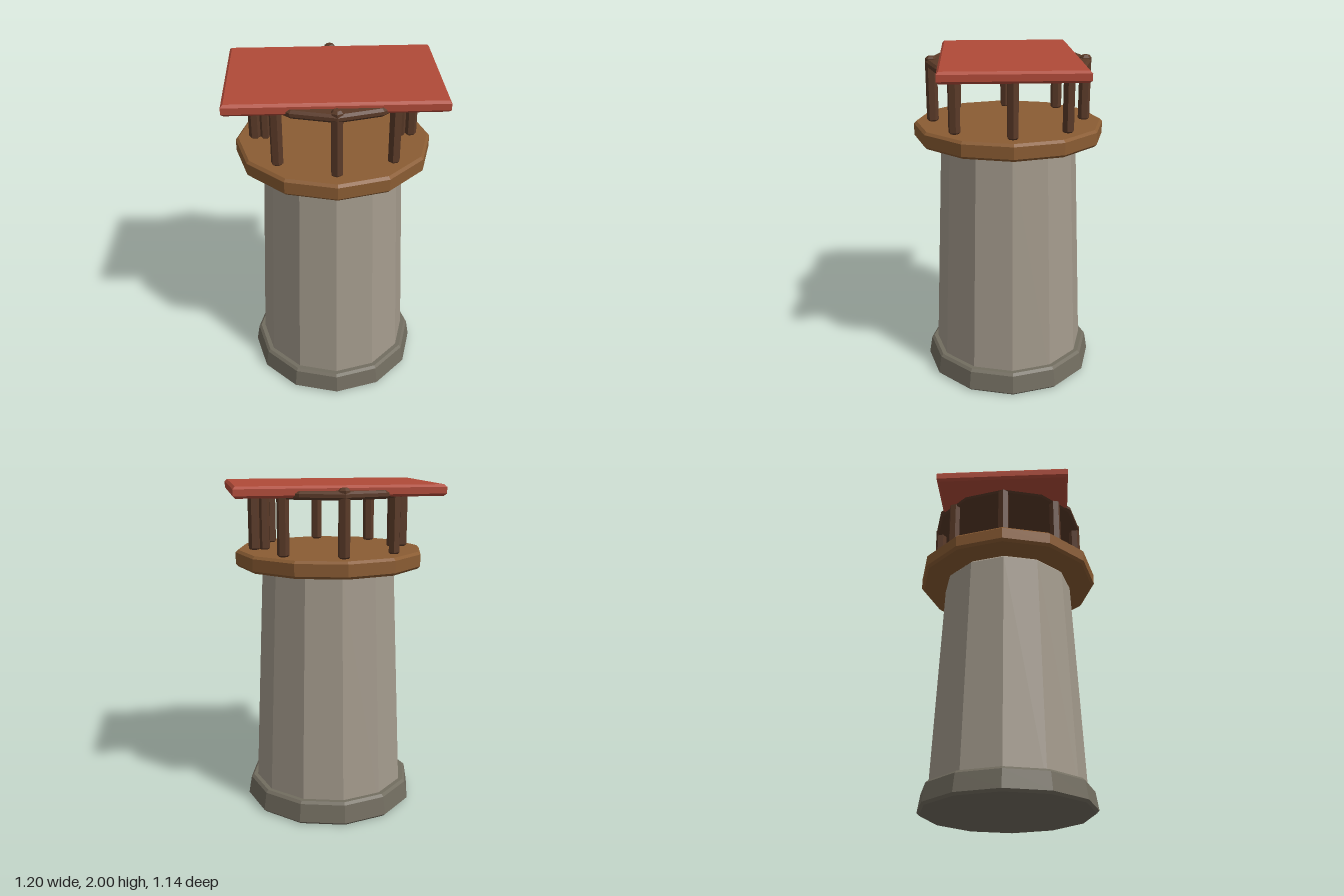
import * as THREE from 'three';

const mat = (color) => new THREE.MeshStandardMaterial({ color, flatShading: true, roughness: 0.9 });
const stone = mat(0xa39a8c);
const darkStone = mat(0x726d60);
const plank = mat(0x8a5c33);
const darkWood = mat(0x5a3a28);
const redRoof = mat(0xb04a38);

// Faceted, solid drum with bevelled rims; first corner faces +z
function drum(name, rBottom, rTop, y0, y1, bevel, sides, material) {
  const profile = [
    [0, y0], [rBottom - bevel, y0], [rBottom, y0 + bevel],
    [rTop, y1 - bevel], [rTop - bevel, y1], [0, y1],
  ].map(([x, y]) => new THREE.Vector2(x, y));
  const mesh = new THREE.Mesh(new THREE.LatheGeometry(profile, sides), material);
  mesh.name = name;
  return mesh;
}

// Flat slab with bevelled edges
function slab(name, width, depth, y0, y1, bevel, material) {
  const w = width / 2 - bevel, d = depth / 2 - bevel;
  const shape = new THREE.Shape([[-w, -d], [w, -d], [w, d], [-w, d]].map(([x, y]) => new THREE.Vector2(x, y)));
  const geometry = new THREE.ExtrudeGeometry(shape, {
    depth: y1 - y0 - 2 * bevel, bevelSize: bevel, bevelThickness: bevel, bevelSegments: 1,
  });
  geometry.rotateX(-Math.PI / 2).translate(0, y0 + bevel, 0);
  const mesh = new THREE.Mesh(geometry, material);
  mesh.name = name;
  return mesh;
}

export function createModel() {
  const model = new THREE.Group();
  model.name = 'watchtower';

  // Stone body and viewing platform
  model.add(
    drum('foundation', 0.53, 0.512, 0, 0.14, 0.015, 12, darkStone),
    drum('tower', 0.475, 0.41, 0.02, 1.505, 0.015, 12, stone),
    drum('platform', 0.57, 0.57, 1.505, 1.605, 0.015, 12, plank),
  );

  // Ring of eight hexagonal railing posts
  const posts = new THREE.Group();
  posts.name = 'railingPosts';
  for (let i = 0; i < 8; i++) {
    const angle = (i * Math.PI) / 4;
    const post = drum('railingPost', 0.035, 0.035, 1.6, 1.99, 0.014, 6, darkWood);
    post.position.set(0.455 * Math.sin(angle), 0, 0.455 * Math.cos(angle));
    post.rotation.y = angle;
    posts.add(post);
  }
  model.add(posts);

  // Two inner posts carrying the roof
  for (const side of [-1, 1]) {
    const post = drum('roofPost', 0.032, 0.032, 1.6, 1.95, 0.012, 6, darkWood);
    post.position.x = 0.395 * side;
    post.rotation.y = Math.PI / 2;
    model.add(post);
  }

  // Top plate and roof
  model.add(
    drum('topPlate', 0.49, 0.49, 1.925, 1.972, 0.014, 12, darkWood),
    slab('roof', 1.2, 0.81, 1.935, 2, 0.014, redRoof),
  );
  return model;
}
